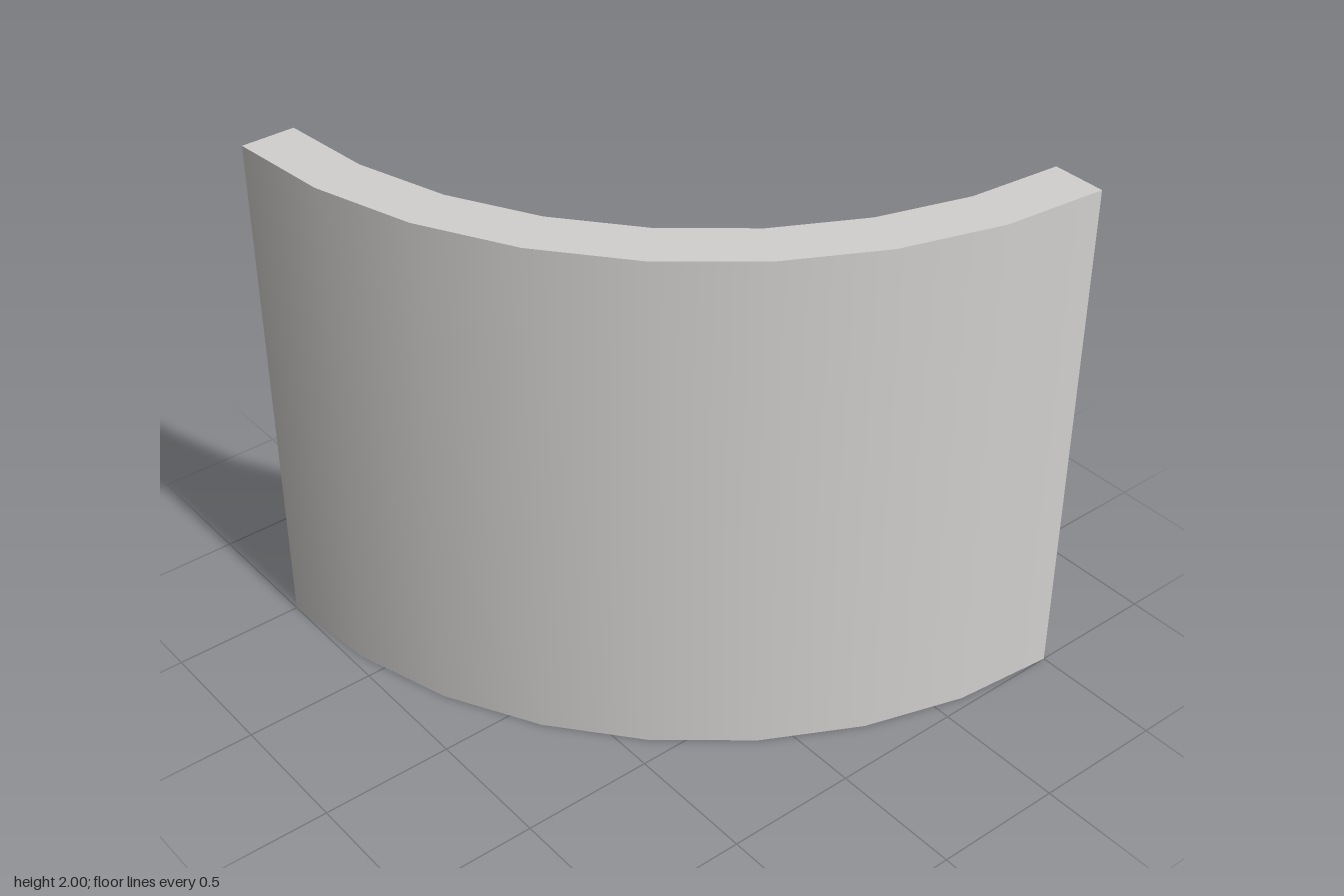
import * as THREE from 'three';
import { mergeGeometries } from 'three/addons/utils/BufferGeometryUtils.js';

const SEGMENTS = 8;

// Cross-section (radius, height), counter-clockwise: outer face, top lip, recess, bottom lip
const PROFILE = [
  [2, 0], [2, 2], [1.8, 2], [1.8, 1.79], [1.84, 1.75],
  [1.84, 0.25], [1.8, 0.21], [1.8, 0],
];
const RECESS = 4; // profile edge that carries the coloured lining

export function createModel() {
  const model = new THREE.Group();
  model.name = 'curvedPanel';

  const shellGrey = new THREE.MeshStandardMaterial({ color: 0xd2d0ce });
  shellGrey.name = 'shellGrey';
  const liningOrange = new THREE.MeshStandardMaterial({ color: 0xe57a0c });
  liningOrange.name = 'liningOrange';

  // One quarter-turn band per profile edge: smooth around, sharp at the corners
  const band = (i) => {
    const pts = [PROFILE[i], PROFILE[(i + 1) % PROFILE.length]].map((p) => new THREE.Vector2(...p));
    return new THREE.LatheGeometry(pts, SEGMENTS, 0, Math.PI / 2);
  };

  // Flat end cap; sign mirrors the section so the cap faces out of the arc
  const cap = (sign, angle) => {
    const shape = new THREE.Shape(PROFILE.map(([r, y]) => new THREE.Vector2(sign * r, y)));
    return new THREE.ShapeGeometry(shape).rotateY(angle);
  };

  const add = (name, geometry, material) => {
    const mesh = new THREE.Mesh(geometry, material);
    mesh.name = name;
    mesh.position.set(-1, 0, -1);
    model.add(mesh);
  };

  // Shell with its lips and chamfers
  const shell = PROFILE.map((_, i) => i).filter((i) => i !== RECESS).map(band);
  add('shell', mergeGeometries(shell), shellGrey);

  // Two end faces
  add('rightEnd', cap(1, -Math.PI / 2), shellGrey);
  add('backEnd', cap(-1, Math.PI), shellGrey);

  // Lining on the recessed inner face
  add('innerLining', band(RECESS), liningOrange);

  return model;
}
